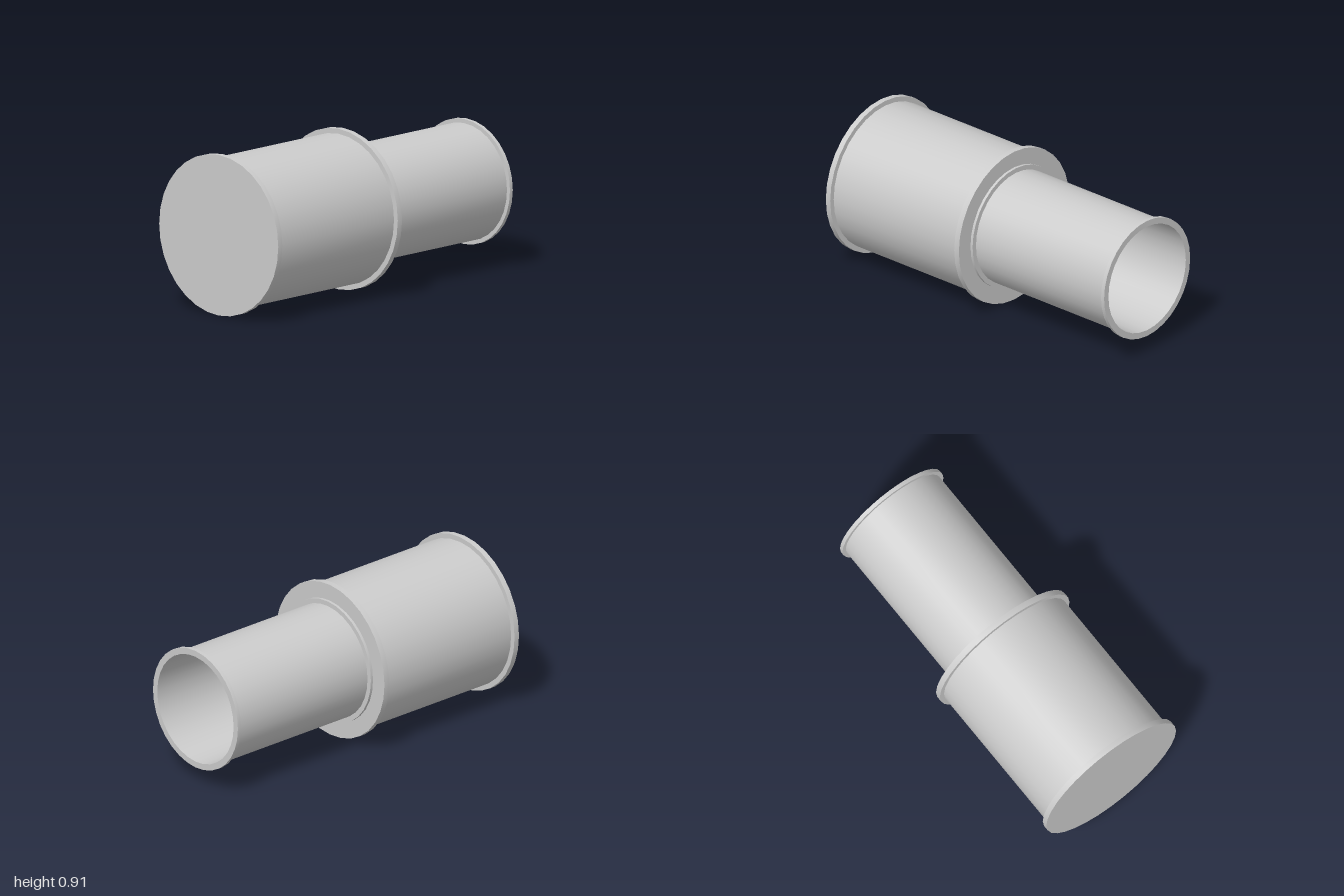
import * as THREE from 'three';
import { toCreasedNormals } from 'three/addons/utils/BufferGeometryUtils.js';

const SIDES = 32;
const AXIS_HEIGHT = 0.457;

// Turned part along the x axis from [x, radius] points
function turned(name, profile) {
  const points = profile.map(([x, r]) => new THREE.Vector2(r, x));
  const geometry = new THREE.LatheGeometry(points, SIDES);
  geometry.rotateZ(-Math.PI / 2);
  const material = new THREE.MeshStandardMaterial({ color: 0xcccccc });
  const mesh = new THREE.Mesh(toCreasedNormals(geometry, 0.5), material);
  mesh.name = name;
  return mesh;
}

export function createModel() {
  const group = new THREE.Group();
  group.name = 'steppedTube';

  // Wide barrel with a rim at each end and a closed back
  const barrel = turned('wideBarrel', [
    [-1, 0], [-1, 0.457], [-0.967, 0.457], [-0.967, 0.428],
    [-0.035, 0.428], [-0.035, 0.457], [0, 0.457], [0, 0.3],
  ]);

  // Narrow sleeve with a collar at the joint and a rim at the mouth
  const sleeve = turned('narrowSleeve', [
    [0, 0.361], [0.016, 0.361], [0.016, 0.333],
    [0.977, 0.333], [0.977, 0.356], [1, 0.356], [1, 0.32],
  ]);

  // Tapered bore running back to a flat floor
  const bore = turned('taperedBore', [
    [1, 0.32], [0, 0.297], [-0.967, 0.254], [-0.967, 0],
  ]);

  group.add(barrel, sleeve, bore);
  group.position.y = AXIS_HEIGHT;

  const root = new THREE.Group();
  root.add(group);
  return root;
}
